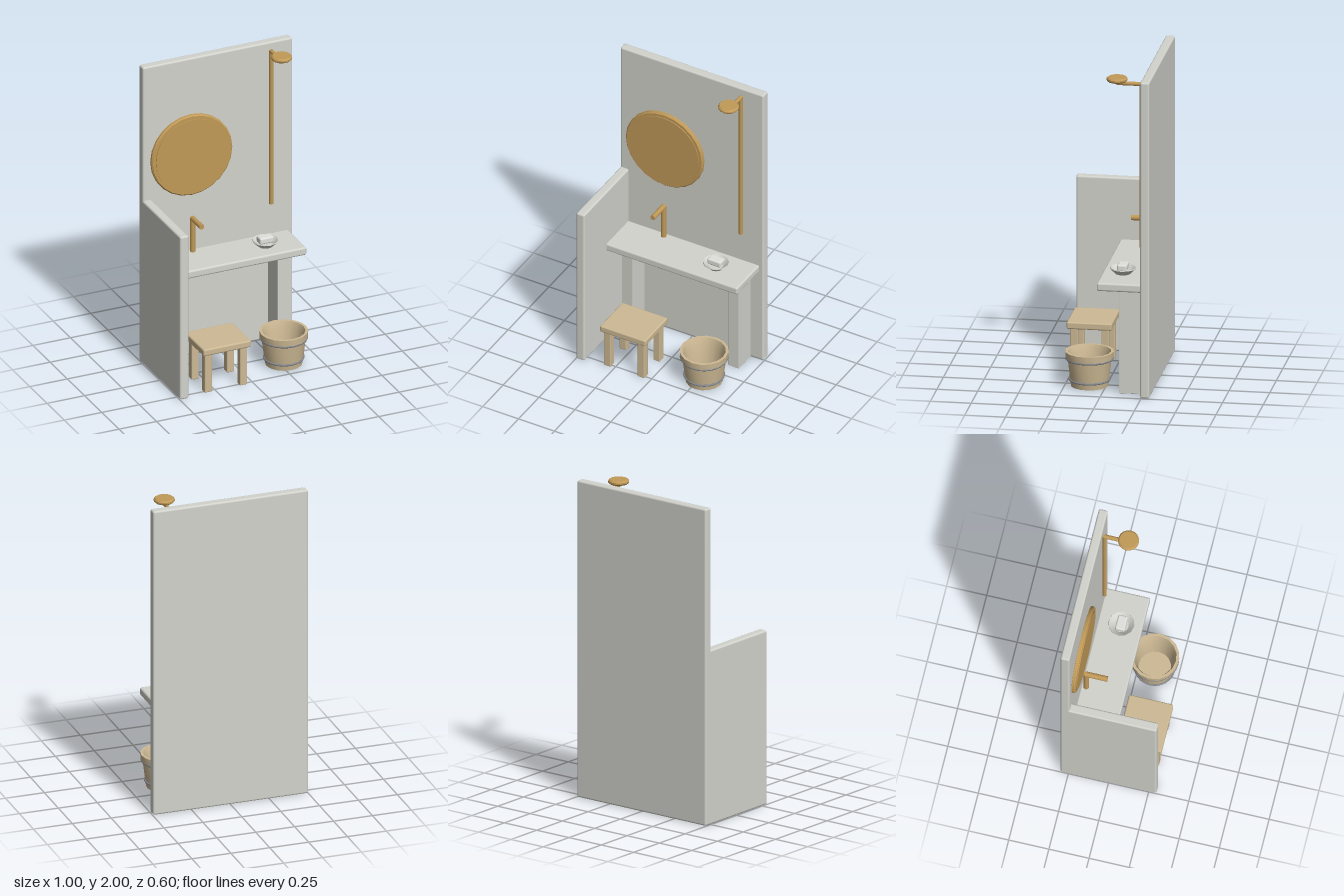
import * as THREE from 'three';
import { RoundedBoxGeometry } from 'three/addons/geometries/RoundedBoxGeometry.js';
import { toCreasedNormals } from 'three/addons/utils/BufferGeometryUtils.js';

const mat = (name, color, extra = {}) => {
  const m = new THREE.MeshStandardMaterial({ color, ...extra });
  m.name = name;
  return m;
};

export function createModel() {
  const root = new THREE.Group();
  root.name = 'washStation';
  const plaster = mat('plaster', 0xd2d3cc);
  const brass = mat('brass', 0xc19a58);
  const wood = mat('wood', 0xcdb994);
  const iron = mat('iron', 0x858990);
  const soapWhite = mat('soapWhite', 0xe0e1dc);

  const add = (name, geo, material, x = 0, y = 0, z = 0, parent = root) => {
    const mesh = new THREE.Mesh(geo, material);
    mesh.name = name;
    mesh.position.set(x, y, z);
    parent.add(mesh);
    return mesh;
  };
  // Soft-edged box given by its extents
  const box = (name, material, [x0, x1], [y0, y1], [z0, z1], r, parent = root) =>
    add(name, new RoundedBoxGeometry(x1 - x0, y1 - y0, z1 - z0, 2, r), material,
      (x0 + x1) / 2, (y0 + y1) / 2, (z0 + z1) / 2, parent);
  const lathe = (pts, sides) => toCreasedNormals(
    new THREE.LatheGeometry(pts.map(([r, y]) => new THREE.Vector2(r, y)), sides), 0.6);
  // Disc with bevelled rims, standing on y = 0
  const disc = (r, h, b, sides) =>
    lathe([[0, 0], [r - b, 0], [r, b], [r, h - b], [r - b, h], [0, h]], sides);
  // Upright pipe with a horizontal arm reaching forward
  const pipe = (name, x, z, y0, y1, r, reach) => {
    const g = new THREE.Group();
    g.name = name;
    root.add(g);
    add(name + 'Riser', new THREE.CylinderGeometry(r, r, y1 - y0, 10), brass, x, (y0 + y1) / 2, z, g);
    add(name + 'Arm', new THREE.CylinderGeometry(r, r, reach, 10), brass, x, y1 - r * 0.3, z + reach / 2, g)
      .rotation.x = Math.PI / 2;
    return g;
  };

  // Walls
  box('backWall', plaster, [-0.5, 0.497], [0, 2], [-0.3, -0.243], 0.012);
  box('sideWall', plaster, [-0.5, -0.442], [0, 1.1], [-0.298, 0.298], 0.012);

  // Counter and its two supports
  box('counter', plaster, [-0.455, 0.468], [0.658, 0.71], [-0.25, 0.027], 0.012);
  for (const x of [-0.37, 0.37])
    box('counterSupport', plaster, [x - 0.038, x + 0.038], [0, 0.67], [-0.25, -0.1], 0.003);

  // Round mirror
  add('mirrorFrame', disc(0.27, 0.03, 0.008, 24), brass, -0.182, 1.355, -0.25).rotation.x = Math.PI / 2;
  add('mirrorFace', new THREE.CylinderGeometry(0.243, 0.243, 0.006, 32), brass, -0.182, 1.355, -0.218)
    .rotation.x = Math.PI / 2;

  // Faucet and shower
  pipe('faucet', -0.182, -0.215, 0.7, 0.938, 0.017, 0.133);
  const shower = pipe('shower', 0.348, -0.229, 0.915, 1.95, 0.013, 0.15);
  add('showerHead', disc(0.064, 0.028, 0.009, 16), brass, 0.348, 1.957, -0.08, shower);

  // Dish with soap
  add('soapDish', lathe([[0, 0], [0.045, 0], [0.08, 0.034], [0.078, 0.04], [0.045, 0.012], [0, 0.012]], 12),
    plaster, 0.249, 0.711, -0.1);
  box('soap', soapWhite, [0.202, 0.296], [0.735, 0.776], [-0.13, -0.07], 0.01);

  // Stool
  const stool = new THREE.Group();
  stool.name = 'stool';
  root.add(stool);
  box('stoolSeat', wood, [-0.34, -0.022], [0.256, 0.301], [0.013, 0.29], 0.01, stool);
  for (const x of [-0.299, -0.064])
    for (const z of [0.056, 0.247])
      box('stoolLeg', wood, [x - 0.024, x + 0.024], [0, 0.265], [z - 0.024, z + 0.024], 0.006, stool);

  // Bucket with thick rim and two hoops
  const bucket = new THREE.Group();
  bucket.name = 'bucket';
  bucket.position.set(0.28, 0, 0.1);
  root.add(bucket);
  add('bucketBody', lathe([[0, 0.004], [0.114, 0.004], [0.136, 0.178], [0.146, 0.178], [0.149, 0.222],
    [0.132, 0.222], [0.116, 0.178], [0.1, 0.03], [0, 0.03]], 16), wood, 0, 0, 0, bucket);
  for (const [y, r] of [[0.177, 0.141], [0.044, 0.12]])
    add('bucketHoop', new THREE.TorusGeometry(r, 0.007, 6, 24), iron, 0, y, 0, bucket).rotation.x = Math.PI / 2;

  return root;
}
